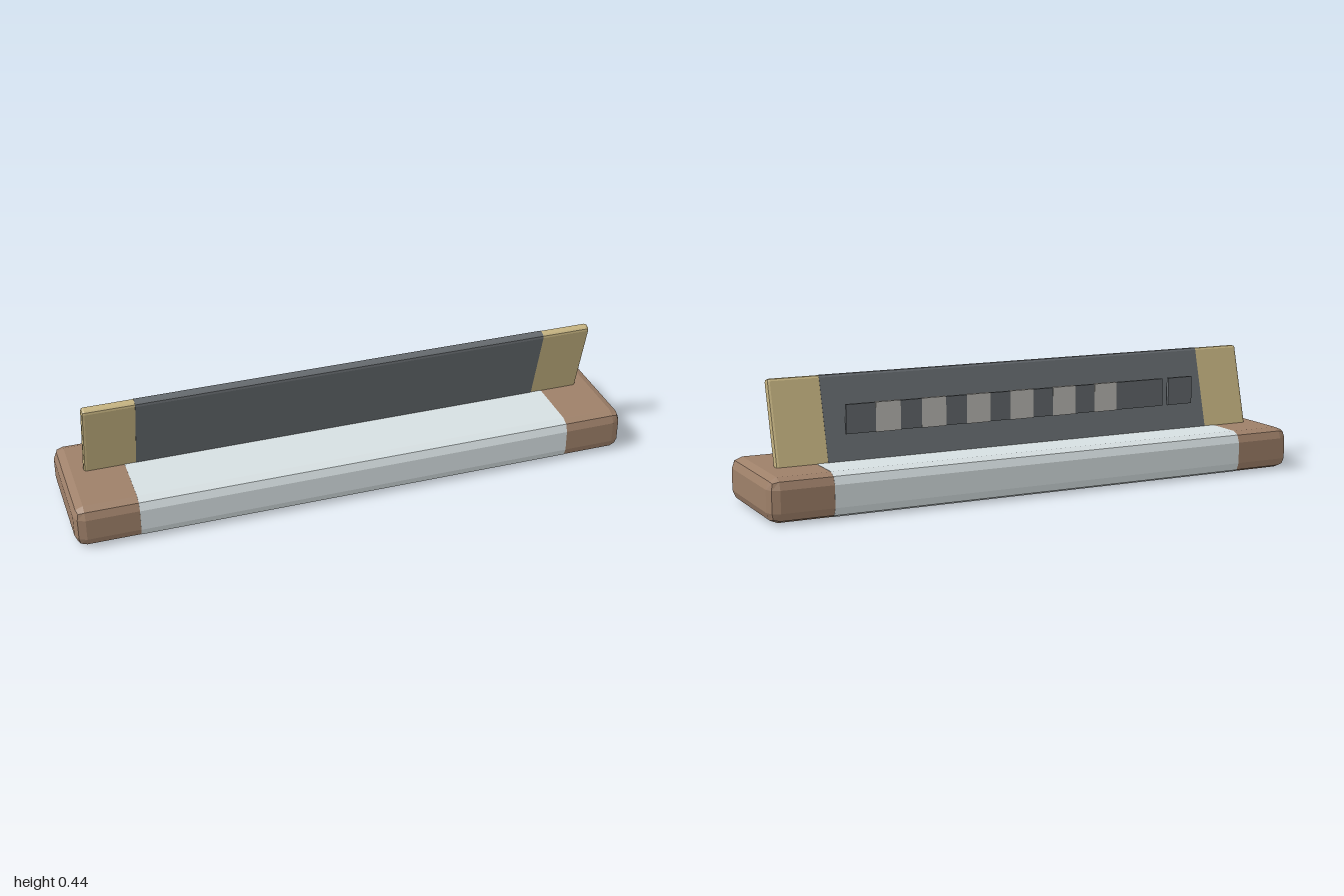
import * as THREE from 'three';
import { RoundedBoxGeometry } from 'three/addons/geometries/RoundedBoxGeometry.js';

const material = (color) => new THREE.MeshStandardMaterial({ color, flatShading: true });
const brown = material(0x9e8069);
const pale = material(0xd6dfe1);
const tan = material(0xc4b280);
const slate = material(0x64696d);
const silver = material(0xbcbab5);

function add(parent, name, geometry, mat, x = 0, y = 0, z = 0) {
  const mesh = new THREE.Mesh(geometry, mat);
  mesh.name = name;
  mesh.position.set(x, y, z);
  parent.add(mesh);
  return mesh;
}

// Band that wraps along x around a box with chamfered, two-step edges
function wrapGeometry(length, height, depth, radius) {
  const points = [];
  const corners = [[1, 1], [-1, 1], [-1, -1], [1, -1]];
  corners.forEach(([sx, sy], i) => {
    for (let k = 0; k <= 2; k++) {
      const a = (i + k / 2) * Math.PI / 2;
      points.push(new THREE.Vector2(
        sx * (depth / 2 - radius) + radius * Math.cos(a),
        sy * (height / 2 - radius) + radius * Math.sin(a)));
    }
  });
  const geometry = new THREE.ExtrudeGeometry(new THREE.Shape(points), { depth: length, bevelEnabled: false });
  geometry.translate(0, 0, -length / 2);
  return geometry.rotateY(Math.PI / 2);
}

export function createModel() {
  const model = new THREE.Group();
  model.name = 'deskSign';
  const skin = 0.002;

  // Base block with a pale middle section
  add(model, 'base', new RoundedBoxGeometry(2, 0.15, 0.44, 1, 0.037), brown, 0, 0.075, 0);
  add(model, 'baseBand', wrapGeometry(1.56, 0.15 + skin, 0.44 + skin, 0.038), pale, 0, 0.075, 0);

  // Leaning board with a dark middle panel
  const board = new THREE.Group();
  board.name = 'board';
  board.position.set(0, 0.277, 0);
  board.rotation.x = THREE.MathUtils.degToRad(15);
  model.add(board);
  add(board, 'boardPlate', new RoundedBoxGeometry(1.84, 0.32, 0.034, 1, 0.01), tan);
  add(board, 'boardPanel', wrapGeometry(1.48, 0.32 + skin, 0.034 + skin, 0.011), slate);

  // Upright strip at the back: a dark bar, a separate end block and light tiles
  const strip = new THREE.Group();
  strip.name = 'backStrip';
  strip.position.set(0, 0.29, -0.037);
  model.add(strip);
  add(strip, 'stripBar', new THREE.BoxGeometry(1.23, 0.1, 0.012), slate, 0.055, 0, 0);
  add(strip, 'stripEndBlock', new THREE.BoxGeometry(0.1, 0.1, 0.012), slate, -0.635, 0, 0);
  for (let i = 0; i < 6; i++) {
    add(strip, 'stripTile' + (i + 1), new THREE.BoxGeometry(0.09, 0.1 + skin, 0.012 + skin), silver,
      0.52 - i * 0.168, 0, 0);
  }
  return model;
}
